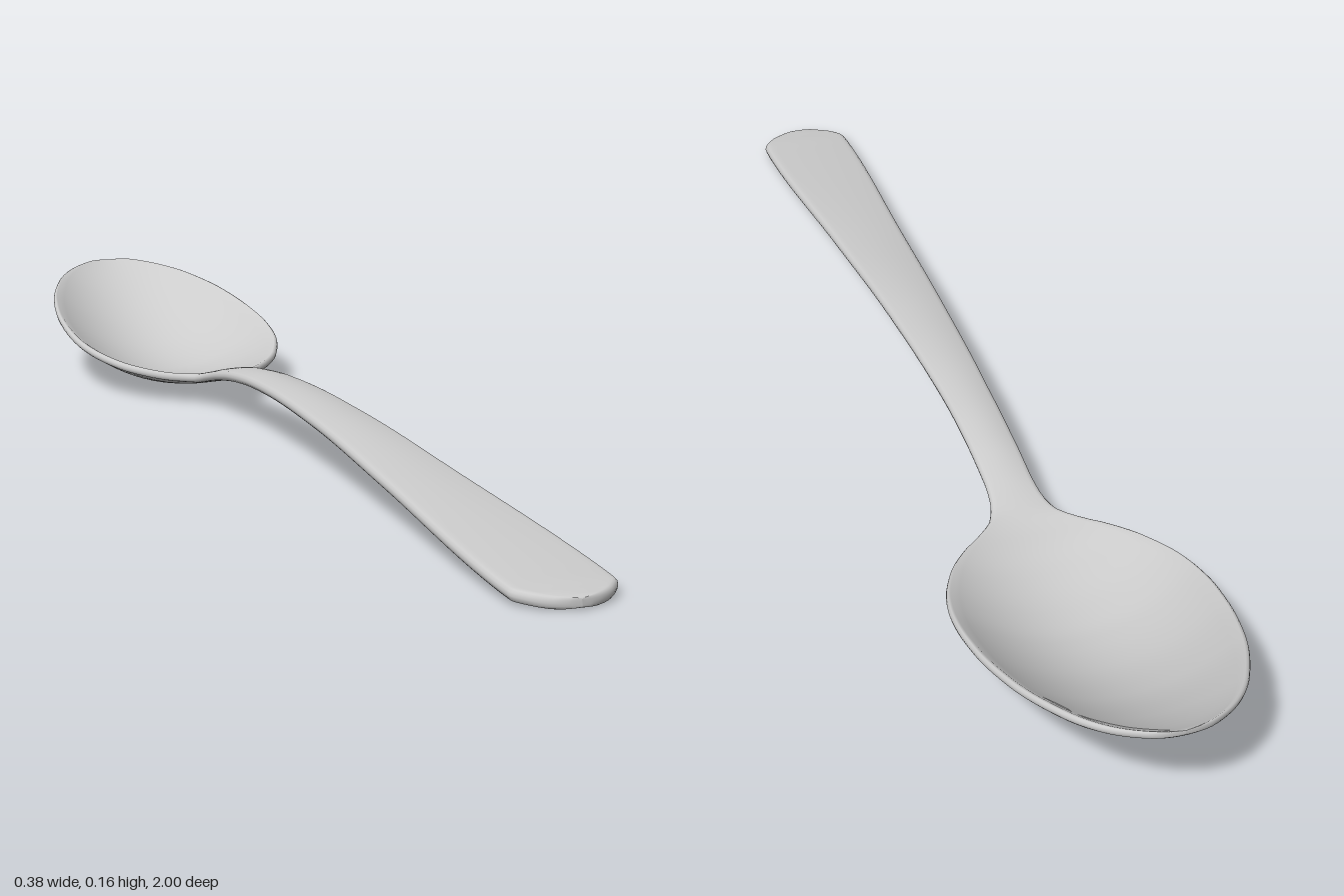
import * as THREE from 'three';

// Stations along the spoon: z, half width, mid-height at centre, mid-height at edge, thickness
const STATIONS = [
  [-1.000, 0.000, 0.160, 0.160, 0.005],
  [-0.998, 0.020, 0.158, 0.159, 0.009],
  [-0.990, 0.046, 0.152, 0.157, 0.012],
  [-0.950, 0.098, 0.127, 0.148, 0.013],
  [-0.900, 0.132, 0.099, 0.138, 0.014],
  [-0.800, 0.170, 0.052, 0.118, 0.014],
  [-0.700, 0.187, 0.020, 0.098, 0.014],
  [-0.640, 0.190, 0.010, 0.087, 0.014],
  [-0.600, 0.188, 0.007, 0.079, 0.014],
  [-0.550, 0.180, 0.009, 0.070, 0.014],
  [-0.470, 0.149, 0.021, 0.056, 0.014],
  [-0.420, 0.113, 0.033, 0.049, 0.014],
  [-0.390, 0.082, 0.039, 0.046, 0.014],
  [-0.360, 0.054, 0.047, 0.047, 0.015],
  [-0.320, 0.040, 0.058, 0.056, 0.016],
  [-0.280, 0.037, 0.068, 0.065, 0.017],
  [-0.200, 0.037, 0.082, 0.078, 0.018],
  [-0.100, 0.038, 0.090, 0.086, 0.018],
  [0.000, 0.041, 0.092, 0.088, 0.018],
  [0.200, 0.048, 0.085, 0.081, 0.018],
  [0.500, 0.061, 0.059, 0.056, 0.018],
  [0.900, 0.079, 0.020, 0.018, 0.018],
  [0.945, 0.078, 0.016, 0.014, 0.018],
  [0.970, 0.063, 0.013, 0.012, 0.018],
  [0.990, 0.037, 0.011, 0.010, 0.017],
  [0.998, 0.016, 0.010, 0.010, 0.014],
  [1.000, 0.000, 0.010, 0.010, 0.010],
];

// Monotone cubic interpolation of one station column
function sample(z, col) {
  const P = STATIONS, last = P.length - 1;
  let k = 0;
  while (k < last - 1 && z > P[k + 1][0]) k++;
  const slope = i => (P[i + 1][col] - P[i][col]) / (P[i + 1][0] - P[i][0]);
  const tangent = i => {
    if (i === 0) return slope(0);
    if (i === last) return slope(last - 1);
    const a = slope(i - 1), b = slope(i);
    return a * b <= 0 ? 0 : 2 * a * b / (a + b);
  };
  const h = P[k + 1][0] - P[k][0], s = (z - P[k][0]) / h, s2 = s * s, s3 = s2 * s;
  return (2 * s3 - 3 * s2 + 1) * P[k][col] + (s3 - 2 * s2 + s) * h * tangent(k)
    + (3 * s2 - 2 * s3) * P[k + 1][col] + (s3 - s2) * h * tangent(k + 1);
}

// Closed cross-section: rounded edges joined by dished upper and lower faces
function section(z) {
  const [w, centre, edge, t] = [1, 2, 3, 4].map(c => sample(z, c));
  const r = Math.min(t / 2, w), flat = w - r, ring = [];
  const ACROSS = 24, ROUND = 6;
  const add = (x, dx, dy) => {
    const u = flat > 1e-5 ? x / flat : 0;
    ring.push([x + dx, centre + (edge - centre) * u * u + dy, z]);
  };
  for (const side of [1, -1]) {
    for (let i = 0; i < ROUND; i++) {
      const a = -Math.PI / 2 + Math.PI * i / ROUND;
      add(side * flat, side * r * Math.cos(a), side * t / 2 * Math.sin(a));
    }
    for (let i = 0; i < ACROSS; i++) add(side * flat * (1 - 2 * i / ACROSS), 0, side * t / 2);
  }
  return ring;
}

// Skin the sections, spaced more closely towards both ends
function spoonGeometry(steps = 220) {
  const positions = [], index = [];
  let n = 0;
  for (let i = 0; i <= steps; i++) {
    const ring = section(-Math.cos(Math.PI * i / steps));
    n = ring.length;
    ring.forEach(p => positions.push(...p));
  }
  for (let i = 0; i < steps; i++) {
    for (let j = 0; j < n; j++) {
      const a = i * n + j, b = i * n + (j + 1) % n;
      index.push(a, b, a + n, b, b + n, a + n);
    }
  }
  const geometry = new THREE.BufferGeometry();
  geometry.setAttribute('position', new THREE.Float32BufferAttribute(positions, 3));
  geometry.setIndex(index);
  geometry.computeVertexNormals();
  return geometry;
}

export function createModel() {
  const group = new THREE.Group();
  group.name = 'spoon';
  // Bowl, neck and handle are one continuous piece
  const body = new THREE.Mesh(spoonGeometry(), new THREE.MeshStandardMaterial({ color: 0xcccccc }));
  body.name = 'bowlAndHandle';
  group.add(body);
  return group;
}
